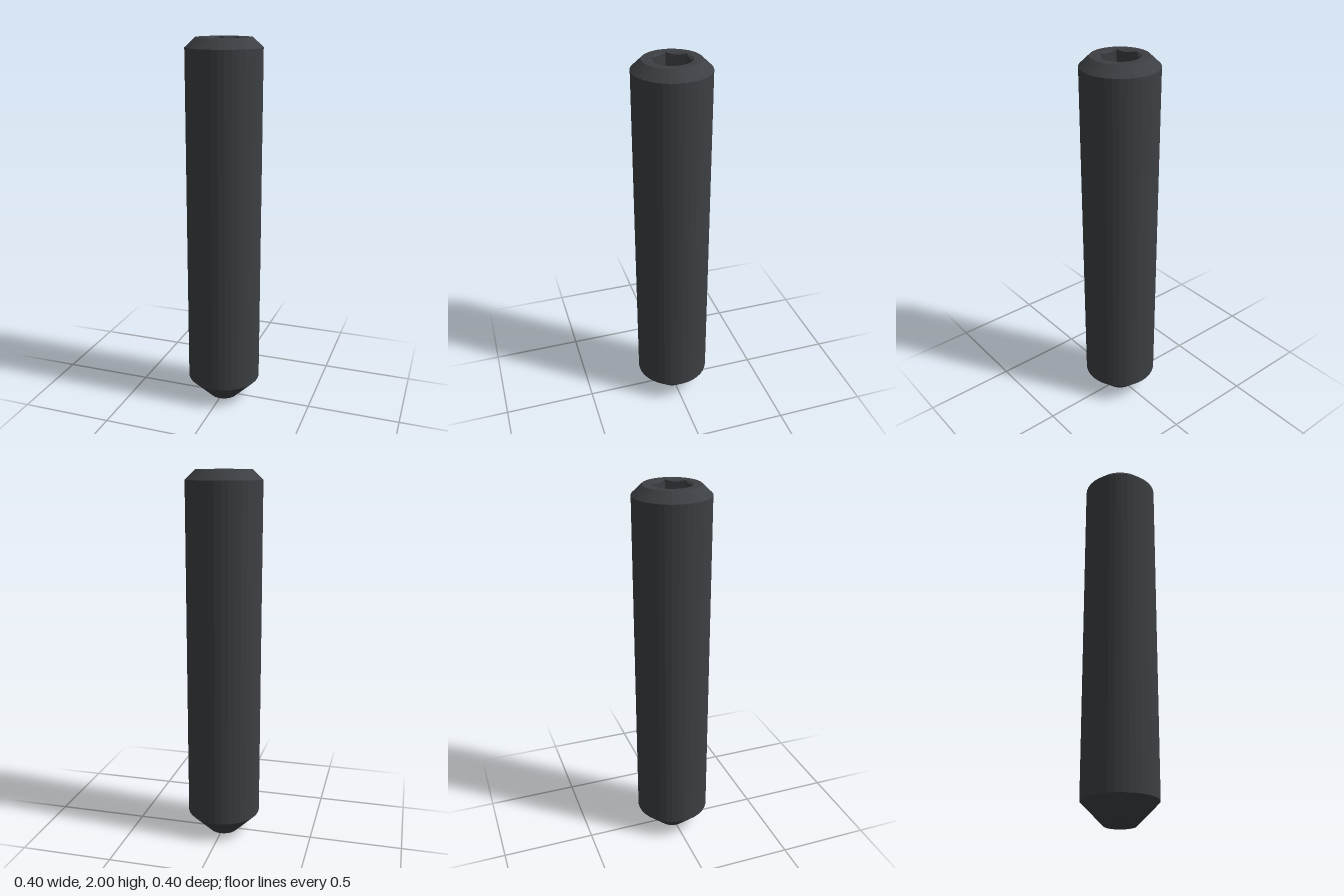
import * as THREE from 'three';

const SIDES = 36;
const APOTHEM = 0.09; // half the socket's width across flats
const CORNER = APOTHEM / Math.cos(Math.PI / 6);
const TOP = 2, FLOOR = 1.66;

const steel = new THREE.MeshStandardMaterial({ color: 0x3c3f43, flatShading: true });

// Revolves a [radius, height] profile; "shape" may move its vertices.
function turned(name, profile, shape) {
  const points = profile.map(([r, y]) => new THREE.Vector2(r, y));
  let geometry = new THREE.LatheGeometry(points, SIDES);
  if (shape) shape(geometry.attributes.position, points.length);
  geometry = geometry.toNonIndexed();
  geometry.computeVertexNormals();
  const mesh = new THREE.Mesh(geometry, steel);
  mesh.name = name;
  return mesh;
}

// Presses the two wall rings into a hexagon with corners on the x axis;
// the upper ring follows the countersink, dipping at the middle of each flat.
function pressHexagon(position, ringCount) {
  for (let i = 0; i < position.count; i++) {
    const ring = i % ringCount;
    if (ring !== 1 && ring !== 2) continue;
    const angle = Math.atan2(position.getZ(i), position.getX(i)) + Math.PI * 2;
    const fromFlat = ((angle + 1e-6) % (Math.PI / 3)) - Math.PI / 6;
    const r = APOTHEM / Math.cos(fromFlat);
    const y = ring === 1 ? TOP - (CORNER - r) * 0.7 : FLOOR;
    position.setXYZ(i, r * Math.cos(angle), y, r * Math.sin(angle));
  }
}

export function createModel() {
  const model = new THREE.Group();
  model.name = 'setScrew';

  // Hollow cup point, chamfered shank and flat top rim
  model.add(turned('shank', [
    [0, 0.05], [0.08, 0], [0.2, 0.12], [0.2, 1.95], [0.147, TOP], [CORNER, TOP],
  ]));

  // Countersunk hexagonal socket with a flat floor
  model.add(turned('hexSocket', [
    [CORNER, TOP], [CORNER, TOP - 0.01], [CORNER, FLOOR], [0, FLOOR],
  ], pressHexagon));

  return model;
}
